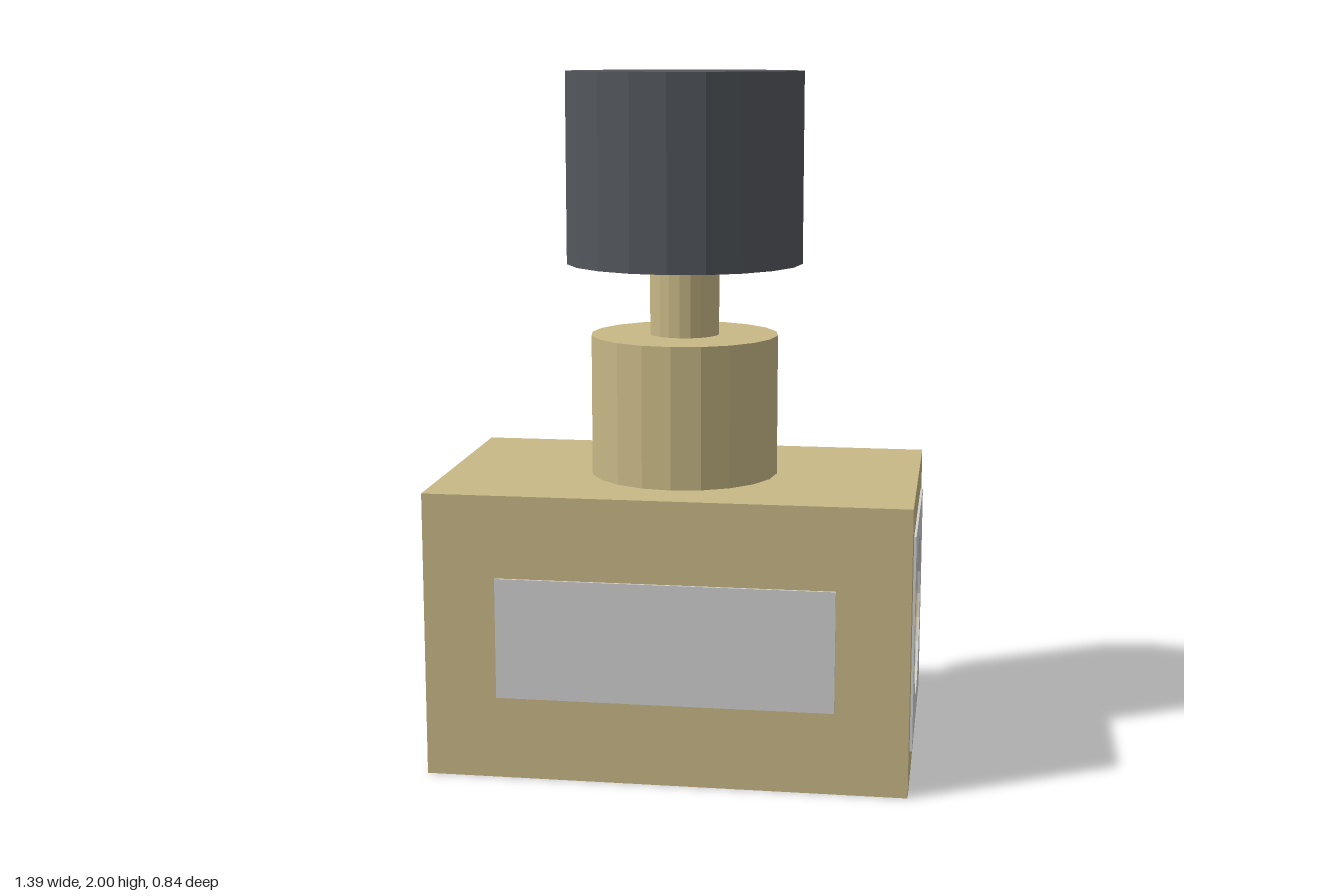
import * as THREE from 'three';

const SIDES = 20;
const MID_Y = 0.415; // height of the port axis
const BORE = 0.235;

function material(name, color) {
  const m = new THREE.MeshStandardMaterial({ color });
  m.name = name;
  m.flatShading = true;
  return m;
}

// Square block with a round bore along x, starting at x = x0
function boredBlock(half, length, x0) {
  const shape = new THREE.Shape([
    new THREE.Vector2(-half, -half),
    new THREE.Vector2(half, -half),
    new THREE.Vector2(half, half),
    new THREE.Vector2(-half, half),
  ]);
  const hole = new THREE.Path();
  hole.absarc(0, 0, BORE, 0, Math.PI * 2, true);
  shape.holes.push(hole);
  const geometry = new THREE.ExtrudeGeometry(shape, {
    depth: length, bevelEnabled: false, curveSegments: SIDES / 2,
  });
  return geometry.rotateY(Math.PI / 2).translate(x0, MID_Y, 0);
}

// Upright cylinder between two heights
function post(radius, y0, y1) {
  return new THREE.CylinderGeometry(radius, radius, y1 - y0, SIDES)
    .translate(0, (y0 + y1) / 2, 0);
}

export function createModel() {
  const brass = material('brass', 0xc8b886);
  const silver = material('silver', 0xd0d0d0);
  const charcoal = material('charcoal', 0x53575c);

  const group = new THREE.Group();
  group.name = 'needleValve';
  const add = (name, geometry, mat) => {
    const mesh = new THREE.Mesh(geometry, mat);
    mesh.name = name;
    mesh.position.z = -0.004;
    group.add(mesh);
  };

  // Body bored from both ends, closed in the middle
  add('body', boredBlock(0.414, 1.38, -0.69), brass);
  add('boreFloor', new THREE.CylinderGeometry(BORE, BORE, 0.5, SIDES)
    .rotateZ(Math.PI / 2).translate(0, MID_Y, 0), brass);

  // Port plates on both ends
  add('leftPortPlate', boredBlock(0.313, 0.007, 0.69), silver);
  add('rightPortPlate', boredBlock(0.313, 0.007, -0.697), silver);

  // Label plate on the front
  add('labelPlate', new THREE.BoxGeometry(0.964, 0.35, 0.007)
    .translate(0, MID_Y, 0.4175), silver);

  // Collar, stem and knob
  add('collar', post(0.275, 0.828, 1.24), brass);
  add('stem', post(0.102, 1.24, 1.45), brass);
  add('knob', post(0.345, 1.45, 2), charcoal);

  return group;
}
